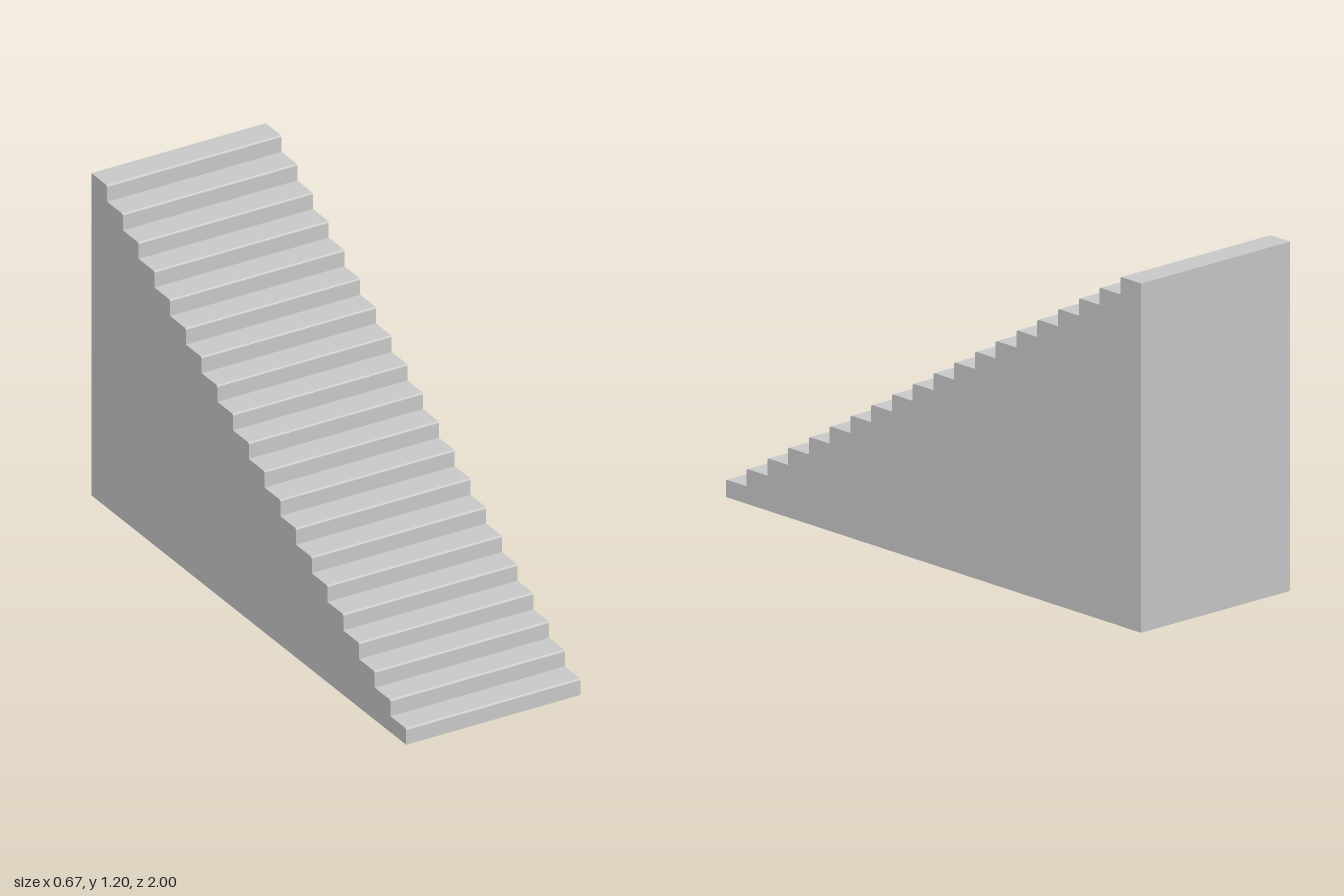
import * as THREE from 'three';

const STEPS = 20, RISE = 0.06, RUN = 0.1, WIDTH = 0.666, CHAMFER = 0.005;

export function createModel() {
  const group = new THREE.Group();
  group.name = 'staircase';

  // Side profile, climbing from the front, with a small chamfer on every nosing
  const profile = new THREE.Shape();
  profile.moveTo(0, 0);
  profile.lineTo(STEPS * RUN, 0);
  profile.lineTo(STEPS * RUN, STEPS * RISE);
  for (let i = STEPS - 1; i >= 0; i--) {
    const front = i * RUN, top = (i + 1) * RISE;
    profile.lineTo(front + CHAMFER, top);
    profile.lineTo(front, top - CHAMFER);
    if (i > 0) profile.lineTo(front, top - RISE);
  }
  profile.closePath();

  // Solid flight, turned so that the steps face +z
  const geometry = new THREE.ExtrudeGeometry(profile, { depth: WIDTH, bevelEnabled: false });
  geometry.translate(-STEPS * RUN / 2, 0, -WIDTH / 2);
  geometry.rotateY(Math.PI / 2);

  const material = new THREE.MeshStandardMaterial({ color: 0xcccccc, flatShading: true });
  const flight = new THREE.Mesh(geometry, material);
  flight.name = 'stairFlight';
  group.add(flight);
  return group;
}
